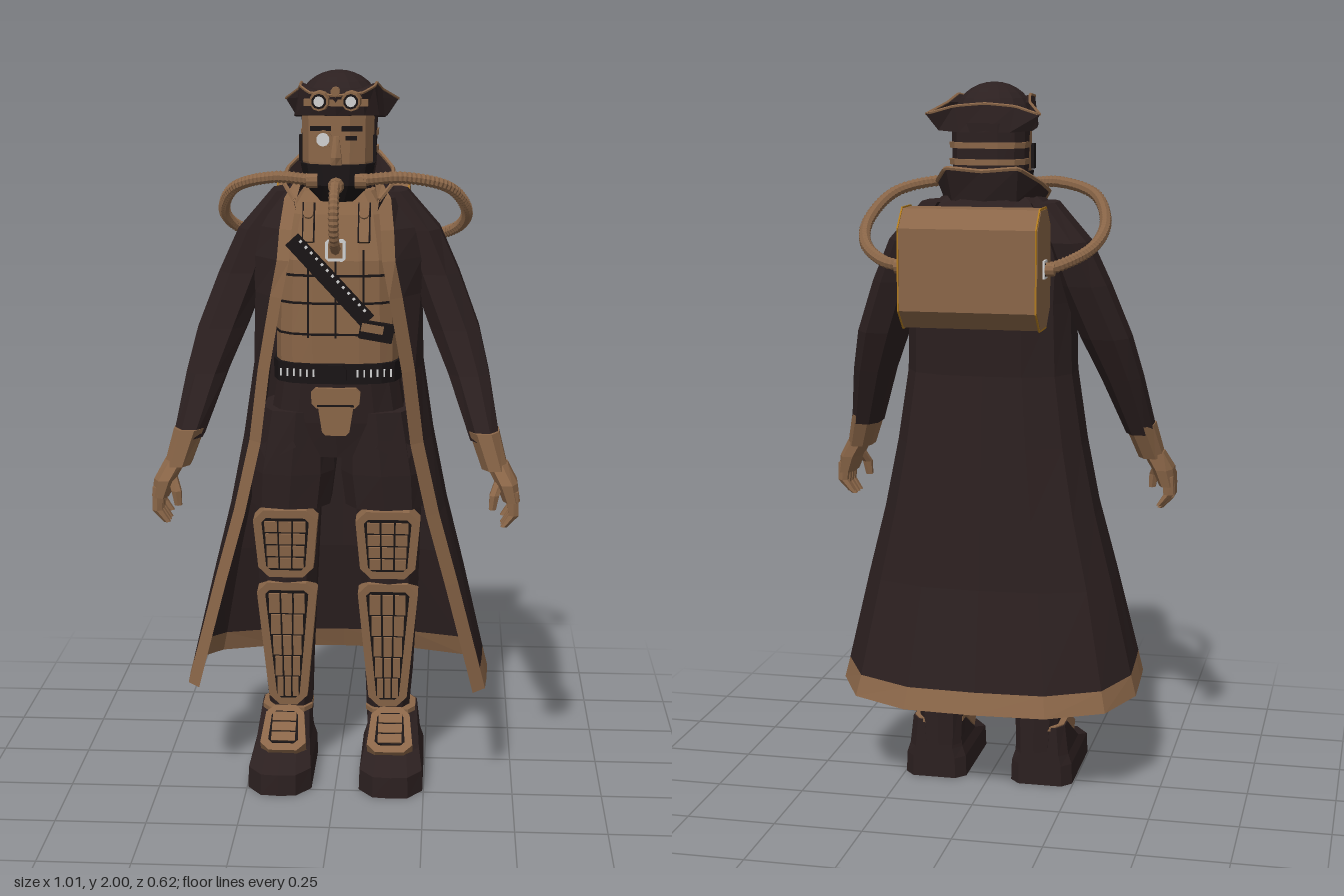
import * as THREE from 'three';

const mat = (name, color) => {
  const m = new THREE.MeshStandardMaterial({ color, flatShading: true, side: THREE.DoubleSide });
  m.name = name;
  return m;
};
const V = (x, y, z) => new THREE.Vector3(x, y, z);

export function createModel() {
  const dark = mat('dark cloth', 0x2c2020), black = mat('black leather', 0x191415);
  const brown = mat('brown leather', 0x8a6648), gold = mat('gold edge', 0xb07a1e), silver = mat('silver', 0xd2d2d2);
  const root = new THREE.Group();

  const add = (name, geo, material, x = 0, y = 0, z = 0, rx = 0, ry = 0, rz = 0, parent = root) => {
    const m = new THREE.Mesh(geo, material);
    m.name = name;
    m.position.set(x, y, z);
    m.rotation.set(rx, ry, rz);
    parent.add(m);
    return m;
  };
  const box = (name, w, h, d, material, ...at) => add(name, new THREE.BoxGeometry(w, h, d), material, ...at);
  const disc = (name, r1, r2, h, material, ...at) => add(name, new THREE.CylinderGeometry(r1, r2, h, 10), material, ...at);

  // Skin over rings listed bottom to top; pick(row, col) chooses a material group
  const loft = (rings, closed = true, cap = true, pick = null) => {
    const n = rings[0].length, cols = closed ? n : n - 1, lists = [[], []];
    rings.slice(1).forEach((_, i) => {
      for (let j = 0; j < cols; j++) {
        const a = i * n + j, b = i * n + (j + 1) % n;
        lists[pick ? pick(i, j) : 0].push(a, b, b + n, a, b + n, a + n);
      }
    });
    if (cap) for (let j = 1; j < n - 1; j++) {
      const t = (rings.length - 1) * n;
      lists[0].push(0, j + 1, j, t, t + j, t + j + 1);
    }
    const g = new THREE.BufferGeometry().setFromPoints(rings.flat());
    g.setIndex([...lists[0], ...lists[1]]);
    if (pick) {
      g.addGroup(0, lists[0].length, 0);
      g.addGroup(lists[0].length, lists[1].length, 1);
    }
    const out = g.toNonIndexed();
    out.computeVertexNormals();
    return out;
  };
  // Level oval ring; p below 1 makes it squarer
  const oval = ([x, y, z, rx, rz], n = 10, p = 1) => Array.from({ length: n }, (_, i) => {
    const a = ((i + 0.5) / n) * Math.PI * 2, c = Math.cos(a), s = -Math.sin(a);
    return V(x + rx * Math.sign(c) * Math.abs(c) ** p, y, z + rz * Math.sign(s) * Math.abs(s) ** p);
  });
  const ovals = (name, rows, material, n = 10, p = 1, s = 1) =>
    add(name, loft(rows.map(([x, ...r]) => oval([x * s, ...r], n, p))), material);
  // Half outline from front to back on +x, mirrored into a full ring
  const mirrorRing = (half) => [...half.map(q => V(...q)),
    ...half.slice(0, -1).reverse().filter(q => q[0] > 0).map(([x, y, z]) => V(-x, y, z))];
  // Chamfered plate, tapering toward its lower edge
  const plate = (w, w2, h, c, d) => {
    const a = w / 2, b = w2 / 2, k = h / 2;
    const pts = [[-b + c, -k], [b - c, -k], [b, -k + c], [a, k - c], [a - c, k], [-a + c, k], [-a, k - c], [-b, -k + c]];
    return new THREE.ExtrudeGeometry(new THREE.Shape(pts.map(q => new THREE.Vector2(...q))), { depth: d, bevelEnabled: false });
  };
  // Ribbed hose
  const hose = (name, pts, r, segs) => {
    const curve = new THREE.CatmullRomCurve3(pts.map(q => V(...q)));
    const g = new THREE.TubeGeometry(curve, segs, r, 8, false), pos = g.attributes.position;
    for (let i = 0; i < pos.count; i++) {
      const ring = Math.floor(i / 9), c = curve.getPointAt(ring / segs);
      const v = V(0, 0, 0).fromBufferAttribute(pos, i).sub(c).multiplyScalar(ring % 2 ? 0.9 : 1.08).add(c);
      pos.setXYZ(i, v.x, v.y, v.z);
    }
    g.computeVertexNormals();
    add(name, g, brown);
  };
  const tube = (name, pts, r, closed) =>
    add(name, new THREE.TubeGeometry(new THREE.CatmullRomCurve3(pts, closed, 'catmullrom', 0.1), 60, r, 5, closed), brown);

  // Long open coat: height, edge x, edge z, half width, back z
  const coat = [[0.29, 0.385, 0.225, 0.43, -0.24], [0.35, 0.37, 0.225, 0.415, -0.22], [0.6, 0.305, 0.225, 0.355, -0.165],
    [0.8, 0.25, 0.225, 0.305, -0.15], [1.0, 0.205, 0.22, 0.265, -0.135], [1.2, 0.18, 0.22, 0.235, -0.12],
    [1.4, 0.145, 0.22, 0.23, -0.13], [1.5, 0.125, 0.21, 0.235, -0.13], [1.58, 0.12, 0.18, 0.225, -0.13],
    [1.66, 0.11, 0.13, 0.17, -0.11], [1.7, 0.1, 0.1, 0.12, -0.09]];
  const coatRings = coat.map(([y, e, f, w, b]) => {
    const sag = y < 0.4 ? 0.03 : 0, t = y < 1.45 ? 0.04 : 0.02;
    return mirrorRing([[e, y, f], [Math.min(e + 0.035, w), y, f - t], [w * 0.99, y, f * 0.45], [w, y - sag * 0.3, b * 0.15],
      [w * 0.84, y - sag * 0.8, b * 0.68], [w * 0.47, y - sag, b * 0.96], [0, y - sag, b]]);
  });
  add('coat', loft(coatRings, false, false, (i, j) => (i === 0 || j === 0 || j === 11 ? 1 : 0)), [dark, brown]);

  // Standing collar with trim
  const collarTop = mirrorRing([[0.115, 1.66, 0.16], [0.15, 1.7, 0.08], [0.145, 1.73, -0.03], [0.1, 1.77, -0.118], [0, 1.762, -0.118]]);
  const collarLow = mirrorRing([[0.11, 1.63, 0.15], [0.13, 1.66, 0.07], [0.125, 1.68, -0.03], [0.09, 1.68, -0.09], [0, 1.68, -0.1]]);
  add('collar', loft([collarLow, collarTop], false, false), dark);
  tube('collarTrim', collarTop, 0.006, false);

  // Vest, seams and belt
  const vest = [[0, 1.165, 0.05, 0.17, 0.15], [0, 1.3, 0.05, 0.17, 0.155], [0, 1.5, 0.05, 0.165, 0.15],
    [0, 1.62, 0.05, 0.14, 0.11], [0, 1.68, 0.05, 0.1, 0.08]];
  ovals('vest', vest, brown, 16, 0.6);
  for (const y of [1.3, 1.385, 1.46])
    ovals('vestSeam', [[0, y - 0.003, 0.05, 0.173, 0.157], [0, y + 0.003, 0.05, 0.173, 0.157]], black, 16, 0.6);
  for (const x of [-0.075, 0, 0.075]) box('vestSeamUpright', 0.005, 0.24, 0.008, black, x, 1.41, x ? 0.197 : 0.201);
  ovals('belt', [[0, 1.165, 0.05, 0.178, 0.163], [0, 1.22, 0.05, 0.178, 0.163]], black, 16, 0.6);
  for (let i = 0; i < 6; i++) for (const s of [-1, 1])
    box('beltRound', 0.005, 0.02, 0.008, silver, s * (0.06 + i * 0.018), 1.195, 0.211 - i * 0.003);
  add('beltPlate', plate(0.06, 0.06, 0.05, 0.01, 0.015), black, 0, 1.193, 0.21);
  add('groinPlate', plate(0.135, 0.13, 0.055, 0.012, 0.02), brown, 0, 1.125, 0.192);
  add('groinLower', plate(0.1, 0.075, 0.1, 0.01, 0.02), brown, 0, 1.07, 0.186);
  box('groinGroove', 0.1, 0.005, 0.008, black, 0, 1.105, 0.211);
  // Bandolier with rounds
  const band = new THREE.Group();
  band.name = 'bandolier';
  band.position.set(-0.015, 1.45, 0.214);
  band.rotation.z = Math.atan2(-0.28, 0.26);
  root.add(band);
  box('strap', 0.3, 0.045, 0.016, black, 0, 0, 0, 0, 0, 0, band);
  for (let i = 0; i < 13; i++)
    box('round', 0.007, 0.007, 0.008, silver, -0.13 + i * 0.021, 0.015, 0.01, 0, 0, 0, band);
  box('pouch', 0.09, 0.05, 0.03, black, 0.11, 1.31, 0.2, 0, 0.2, -0.2);
  box('pouchFlap', 0.06, 0.022, 0.008, brown, 0.1, 1.32, 0.219, 0, 0.2, -0.2);
  add('hoseSocket', plate(0.055, 0.055, 0.06, 0.008, 0.012), silver, 0, 1.53, 0.198);
  box('hoseSocketCore', 0.038, 0.04, 0.008, brown, 0, 1.53, 0.212);

  // Trousers
  ovals('hips', [[0, 0.95, 0.04, 0.19, 0.13], [0, 1.05, 0.04, 0.19, 0.15], [0, 1.17, 0.05, 0.17, 0.15]], dark, 14, 0.7);
  for (const s of [-1, 1]) {
    ovals('leg', [[0.14, 0.1, -0.01, 0.06, 0.06], [0.145, 0.3, 0.01, 0.072, 0.085], [0.145, 0.55, 0.035, 0.085, 0.1],
      [0.142, 0.8, 0.045, 0.095, 0.105]], dark, 10, 0.8, s);
    ovals('trouserLeg', [[0.133, 0.8, 0.05, 0.115, 0.125], [0.125, 0.9, 0.05, 0.12, 0.135], [0.11, 1.08, 0.05, 0.1, 0.14]], dark, 10, 0.75, s);
    box('pocketFlap', 0.1, 0.05, 0.02, dark, s * 0.16, 0.98, 0.165, -0.05, s * 0.3, s * -0.5);
    // Quilted armour on knee and shin
    for (const [name, y, w, w2, h, z, rows] of [['kneePad', 0.702, 0.18, 0.155, 0.2, 0.13, 4], ['shinGuard', 0.39, 0.17, 0.11, 0.38, 0.08, 5]]) {
      const g = new THREE.Group();
      g.name = name;
      g.position.set(s * 0.143, y, z);
      g.rotation.x = 0.1;
      root.add(g);
      add('frame', plate(w, w2, h, 0.03, 0.06), brown, 0, 0, -0.02, 0, 0, 0, g);
      add('backing', plate(w - 0.048, w2 - 0.045, h - 0.045, 0.012, 0.006), black, 0, 0, 0.036, 0, 0, 0, g);
      const step = (h - 0.055) / rows;
      for (let r = 0; r < rows; r++) for (let c = -1; c <= 1; c++) {
        const yy = (r + 0.5) * step - (h - 0.055) / 2, ww = (w + w2) / 2 + (w - w2) * yy / h - 0.054;
        box('tile', ww / 3 - 0.005, step - 0.006, 0.012, brown, c * ww / 3, yy, 0.042, 0, 0, 0, g);
      }
    }
    // Boot with instep guard
    const sole = (y, zt, w) => mirrorRing([[0, y, zt], [w * 0.55, y, zt - 0.005], [w, y, zt - 0.06], [w, y, -0.03], [w * 0.7, y, -0.06], [0, y, -0.06]])
      .map(v => v.add(V(s * 0.157, 0, 0)));
    add('boot', loft([sole(0, 0.3, 0.09), sole(0.06, 0.298, 0.088), sole(0.09, 0.2, 0.078), sole(0.175, 0.07, 0.068)]), dark);
    ovals('ankleStrap', [[0.15, 0.165, 0.008, 0.074, 0.076], [0.15, 0.178, 0.008, 0.074, 0.076]], brown, 10, 0.7, s);
    const guard = new THREE.Group();
    guard.name = 'instepGuard';
    guard.position.set(s * 0.152, 0.135, 0.143);
    guard.rotation.x = -0.92;
    root.add(guard);
    add('guardPlate', plate(0.11, 0.13, 0.15, 0.025, 0.04), brown, 0, 0, -0.025, 0, 0, 0, guard);
    add('guardGroove', plate(0.075, 0.085, 0.105, 0.012, 0.004), black, 0, 0, 0.014, 0, 0, 0, guard);
    for (let i = -1; i <= 1; i++) box('guardTile', 0.068, 0.028, 0.01, brown, 0, i * 0.033, 0.017, 0, 0, 0, guard);

    // Sleeve, cuff and gloved hand
    ovals('sleeve', [[0.408, 1.01, 0.165, 0.043, 0.072], [0.362, 1.18, 0.09, 0.06, 0.08], [0.322, 1.3, 0.045, 0.072, 0.09],
      [0.265, 1.45, 0.01, 0.072, 0.1], [0.22, 1.57, -0.005, 0.062, 0.11], [0.15, 1.675, 0, 0.04, 0.09]], dark, 8, 0.85, s);
    ovals('cuff', [[0.436, 0.935, 0.192, 0.038, 0.06], [0.405, 1.035, 0.163, 0.044, 0.08]], brown, 8, 0.85, s);
    ovals('palm', [[0.482, 0.85, 0.208, 0.025, 0.06], [0.468, 0.9, 0.205, 0.032, 0.066], [0.44, 0.95, 0.19, 0.033, 0.05]], brown, 8, 0.8, s);
    for (let i = 0; i < 4; i++) {
      const z = 0.168 + i * 0.027, d = i === 0 ? 0.012 : 0;
      ovals('finger', [[0.462, 0.782 + d, z, 0.01, 0.012], [0.488, 0.815 + d, z, 0.016, 0.016], [0.485, 0.88, z, 0.018, 0.016]], brown, 6, 1, s);
    }
    ovals('thumb', [[0.43, 0.83, 0.25, 0.011, 0.012], [0.435, 0.87, 0.248, 0.015, 0.017], [0.455, 0.92, 0.215, 0.015, 0.02]], brown, 6, 1, s);

    // Side hose from tank to mask, looped a little tighter on the right
    const k = s < 0 ? 0.92 : 1;
    hose('sideHose', [[s * 0.19, 1.51, -0.21], [s * k * 0.25, 1.52, -0.2], [s * k * 0.33, 1.56, -0.11], [s * k * 0.35, 1.62, 0],
      [s * k * 0.3, 1.69, 0.1], [s * k * 0.18, 1.72, 0.155], [s * 0.07, 1.715, 0.175]], 0.016, 110);
    box('tankSocket', 0.008, 0.05, 0.04, silver, s * 0.192, 1.51, -0.21);
    box('tankSocketCore', 0.008, 0.034, 0.026, black, s * 0.194, 1.51, -0.21);
    disc('tankNozzle', 0.018, 0.02, 0.03, brown, s * 0.205, 1.51, -0.21, 0, 0, Math.PI / 2);
    // Tank end rims
    add('tankRim', plate(0.197, 0.197, 0.328, 0.053, 0.004), gold, s * 0.187 - 0.002, 1.51, -0.21, 0, Math.PI / 2, 0);
    add('tankEnd', plate(0.186, 0.186, 0.316, 0.05, 0.003), brown, s * 0.189 - 0.0015, 1.51, -0.21, 0, Math.PI / 2, 0);
    // Shoulder straps on the vest
    box('strapEdge', 0.034, 0.11, 0.008, black, s * 0.075, 1.6, 0.168, -0.4, 0, 0);
    box('vestStrap', 0.026, 0.11, 0.016, brown, s * 0.075, 1.6, 0.168, -0.4, 0, 0);
    disc('strapStud', 0.014, 0.014, 0.014, brown, s * 0.075, 1.625, 0.175, 1.2, 0, 0);
  }
  add('tank', plate(0.19, 0.19, 0.32, 0.05, 0.376), brown, -0.188, 1.51, -0.21, 0, Math.PI / 2, 0);
  hose('chestHose', [[0, 1.7, 0.2], [0, 1.7, 0.25], [0, 1.66, 0.29], [0, 1.61, 0.297], [0, 1.56, 0.275], [0, 1.532, 0.21]], 0.014, 40);

  // Head with hood, straps and mask
  ovals('face', [[0, 1.63, 0.05, 0.06, 0.07], [0, 1.7, 0.07, 0.08, 0.1], [0, 1.76, 0.06, 0.098, 0.11], [0, 1.89, 0.05, 0.1, 0.115]], brown, 12, 0.75);
  ovals('hood', [[0, 1.65, 0, 0.085, 0.08], [0, 1.74, 0, 0.102, 0.09], [0, 1.89, 0, 0.106, 0.092]], dark, 12, 0.75);
  for (const y of [1.785, 1.83]) ovals('headStrap', [[0, y - 0.008, -0.015, 0.108, 0.086], [0, y + 0.008, -0.015, 0.109, 0.086]], brown, 12, 0.75);
  ovals('mask', [[0, 1.655, 0.085, 0.055, 0.08], [0, 1.7, 0.08, 0.09, 0.11], [0, 1.755, 0.072, 0.103, 0.108]], black, 12, 0.75);
  ovals('nose', [[0, 1.755, 0.175, 0.018, 0.02], [0, 1.775, 0.175, 0.016, 0.025], [0, 1.83, 0.165, 0.009, 0.01]], brown, 6);
  disc('mouthpiece', 0.018, 0.024, 0.05, brown, 0, 1.7, 0.195, Math.PI / 2, 0, 0);
  for (const s of [-1, 1]) {
    box('brow', 0.055, 0.013, 0.008, black, s * 0.042, 1.85, 0.166);
    box('cheekStrap', 0.008, 0.07, 0.03, black, s * 0.1, 1.795, 0.1);
    disc('hoseCollar', 0.02, 0.02, 0.03, brown, s * 0.065, 1.712, 0.172, 0, 0, Math.PI / 2);
  }
  box('eye', 0.03, 0.012, 0.008, black, 0.04, 1.825, 0.167);
  disc('monocleRim', 0.025, 0.025, 0.02, brown, -0.035, 1.822, 0.17, Math.PI / 2, 0, 0);
  disc('monocle', 0.018, 0.018, 0.008, silver, -0.035, 1.822, 0.182, Math.PI / 2, 0, 0);

  // Cornered hat
  const brimLow = mirrorRing([[0, 1.885, 0.19], [0.075, 1.885, 0.165], [0.112, 1.882, 0.11], [0.124, 1.875, 0.03], [0.122, 1.868, -0.03], [0.128, 1.87, -0.085], [0.07, 1.865, -0.088], [0, 1.865, -0.09]]);
  const brimTop = mirrorRing([[0, 1.938, 0.205], [0.07, 1.945, 0.18], [0.1, 1.96, 0.12], [0.102, 1.966, 0.04], [0.115, 1.945, -0.03], [0.158, 1.914, -0.108], [0.085, 1.935, -0.083], [0, 1.942, -0.078]]);
  add('hatBrim', loft([brimLow, brimTop]), dark);
  tube('hatTrim', brimTop, 0.004, true);
  add('hatCrown', new THREE.SphereGeometry(1, 16, 8, 0, Math.PI * 2, 0, Math.PI / 2), dark, 0, 1.9, 0.045).scale.set(0.112, 0.1, 0.125);
  // Goggles on the hat
  box('goggleBand', 0.17, 0.018, 0.03, brown, 0, 1.92, 0.185);
  for (const x of [-0.042, 0.042]) {
    disc('goggleCup', 0.025, 0.028, 0.05, brown, x, 1.925, 0.21, Math.PI / 2, 0, 0);
    disc('goggleGroove', 0.02, 0.02, 0.006, black, x, 1.925, 0.234, Math.PI / 2, 0, 0);
    disc('goggleLens', 0.014, 0.014, 0.008, silver, x, 1.925, 0.237, Math.PI / 2, 0, 0);
  }
  disc('goggleKnob', 0.012, 0.012, 0.04, brown, 0, 1.95, 0.205, Math.PI / 2, 0, 0);

  return root;
}
